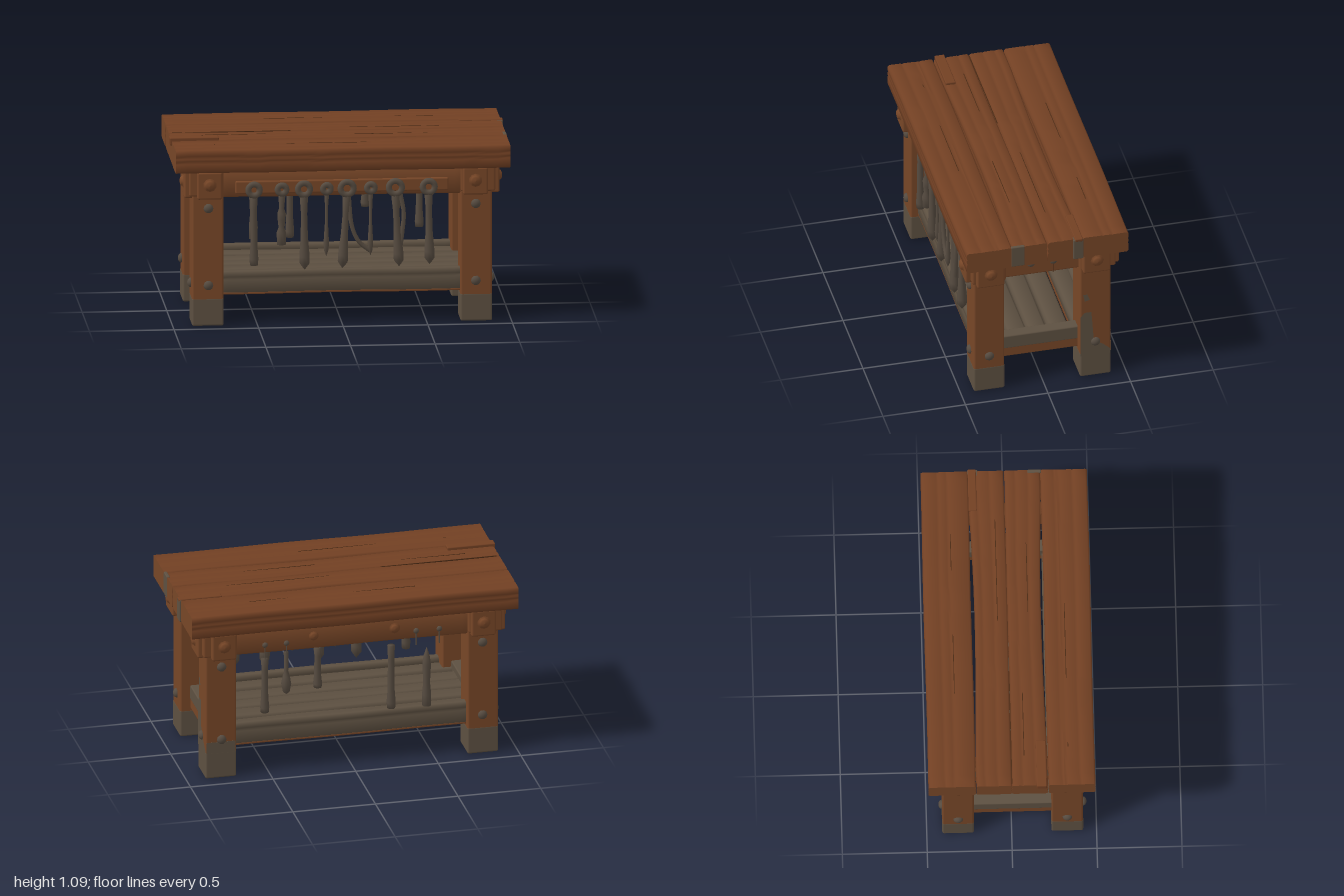
import * as THREE from 'three';
import { toCreasedNormals } from 'three/addons/utils/BufferGeometryUtils.js';
import { RoundedBoxGeometry } from 'three/addons/geometries/RoundedBoxGeometry.js';

const mat = (name, color, side = THREE.FrontSide) => {
  const m = new THREE.MeshStandardMaterial({ color, side });
  m.name = name;
  return m;
};

export function createModel() {
  const wood = mat('wood', 0x774627);
  const topWood = mat('top wood', 0x724023);
  const grain = mat('dark grain', 0x4a2a14);
  const worn = mat('worn grey wood', 0x5d5041);
  const iron = mat('iron', 0x564b40);
  const stain = mat('grey stain', 0x5d5041, THREE.DoubleSide);

  const model = new THREE.Group();
  model.name = 'workbench';
  const add = (name, geo, material, x = 0, y = 0, z = 0, parent = model) => {
    const m = new THREE.Mesh(geo, material);
    m.name = name;
    m.position.set(x, y, z);
    parent.add(m);
    return m;
  };
  // Rounded block given by its limits on each axis
  const block = (name, [x0, x1], [y0, y1], [z0, z1], material, r = 0.012) =>
    add(name, new RoundedBoxGeometry(x1 - x0, y1 - y0, z1 - z0, 2, r), material,
      (x0 + x1) / 2, (y0 + y1) / 2, (z0 + z1) / 2);

  // Long board along x: grooved cross-section, then gently warped
  function board(name, len, [y0, y1], [z0, z1], material, o = {}) {
    const { grooves = [], sides = [], seed = 0, amp = 0.0015, pinch = 0, c = 0.01 } = o;
    const w = (z1 - z0) / 2, h = (y1 - y0) / 2, d = 0.004, g = 0.009;
    const s = new THREE.Shape();
    s.moveTo(-w + c, -h);
    s.lineTo(w - c, -h);
    s.lineTo(w, -h + c);
    for (const t of sides) { s.lineTo(w, t - g); s.lineTo(w - d, t); s.lineTo(w, t + g); }
    s.lineTo(w, h - c);
    s.lineTo(w - c, h);
    for (const t of grooves) {
      const p = w * (1 - 2 * t);
      s.lineTo(p + g, h); s.lineTo(p, h - d); s.lineTo(p - g, h);
    }
    s.lineTo(-w + c, h);
    s.lineTo(-w, h - c);
    for (const t of [...sides].reverse()) { s.lineTo(-w, t + g); s.lineTo(-w + d, t); s.lineTo(-w, t - g); }
    s.lineTo(-w, -h + c);
    s.closePath();
    const geo = new THREE.ExtrudeGeometry(s, { depth: len, steps: 28, bevelEnabled: false });
    geo.translate(0, 0, -len / 2);
    geo.rotateY(Math.PI / 2);
    geo.translate(0, (y0 + y1) / 2, (z0 + z1) / 2);
    const p = geo.attributes.position;
    for (let i = 0; i < p.count; i++) {
      const x = p.getX(i), y = p.getY(i), z = p.getZ(i);
      p.setY(i, y + amp * Math.sin(6 * x + 14 * z + seed));
      p.setZ(i, z * (1 - pinch * Math.max(0, 1 - x * x * 1.6)) + amp * Math.sin(4.3 * x + seed * 2));
    }
    return add(name, toCreasedNormals(geo, 0.9), material);
  }

  // Table top: lighter board ends, darker long sides
  [
    [0.215, 0.49, 0, [0.3, 0.38, 0.68]],
    [0.001, 0.212, 0.07, [0.3, 0.66]],
    [-0.21, -0.001, 0.07, [0.25, 0.6]],
    [-0.492, -0.213, 0, [0.35, 0.55]],
  ].forEach(([z0, z1, pinch, grooves], i) => {
    board('topPlank', 1.976, [0.937, 1.075], [z0, z1], [wood, topWood],
      { grooves, sides: [-0.005, 0.025], seed: i * 1.7, pinch });
  });
  // Dark cracks along the top
  for (const [x, z, len] of [[-0.3, 0.335, 0.9], [0.4, 0.12, 0.6], [-0.55, 0.075, 0.5],
    [0.35, -0.06, 0.7], [0.1, -0.325, 1.0], [-0.62, 0, 0.7]])
    add('crack', new THREE.BoxGeometry(len, 0.006, 0.004), grain, x, 1.0725, z);
  // End repairs: raised splints and grey straps
  block('splint', [-1, -0.71], [1.045, 1.09], [0.145, 0.205], topWood, 0.006);
  block('splint', [0.74, 1.0], [1.06, 1.08], [-0.213, -0.165], topWood, 0.006);
  block('strap', [0.97, 0.991], [0.94, 1.078], [0.138, 0.22], worn, 0.006);
  block('strap', [0.96, 0.999], [0.937, 1.074], [-0.216, -0.155], worn, 0.006);

  // Domed bolt and flared peg, pointing along +y before being turned
  const dome = new THREE.SphereGeometry(0.029, 10, 6, 0, Math.PI * 2, 0, Math.PI / 2);
  dome.scale(1, 0.75, 1);
  const peg = new THREE.LatheGeometry([[0.056, -0.003], [0.04, 0.003], [0.029, 0.008], [0.029, 0.014],
    [0.02, 0.021], [0, 0.024]].map(a => new THREE.Vector2(...a)), 10);
  const face = (name, geo, material, x, y, z, axis, sign) => {
    const m = add(name, geo, material, x, y, z);
    if (axis === 'x') m.rotation.z = -sign * Math.PI / 2;
    else m.rotation.x = sign * Math.PI / 2;
    return m;
  };

  // Legs with worn feet, corner blocks, pegs and bolts
  for (const sx of [-1, 1]) for (const sz of [-1, 1]) {
    const cx = sx * 0.793, cz = sz > 0 ? 0.328 : -0.315, r = 0.093;
    const span = (a, b) => [Math.min(a, b), Math.max(a, b)];
    block('leg', [cx - r, cx + r], [0.1, 0.94], [cz - r, cz + r], wood);
    block('foot', [cx - r - 0.001, cx + r + 0.001], [0, 0.17], [cz - r - 0.001, cz + r + 0.001], worn);
    block('cornerBlock', span(cx, sx * 0.932), [0.772, 0.937], [cz - 0.084, cz + 0.084], wood);
    block('cornerBlock', [sx * 0.785 - 0.074, sx * 0.785 + 0.074], [0.772, 0.937], span(cz, sz * 0.466), wood);
    block('cornerCore', span(sx * 0.7, sx * 0.905), [0.785, 0.937], span(sz * 0.23, sz * 0.435), wood);
    face('peg', peg, wood, sx * 0.929, 0.86, cz, 'x', sx);
    face('peg', peg, wood, sx * 0.785, 0.86, sz * 0.463, 'z', sz);
    face('bolt', dome, iron, cx + sx * r, 0.245, cz, 'x', sx);
    for (const y of [0.245, 0.71]) face('bolt', dome, iron, sx * 0.79, y, cz + sz * r, 'z', sz);
  }

  // Aprons
  board('frontApron', 1.44, [0.77, 0.938], [0.33, 0.4], wood, { seed: 1 });
  board('backApron', 1.44, [0.77, 0.938], [-0.4, -0.33], wood, { seed: 2 });
  block('toolRail', [-0.63, 0.63], [0.79, 0.868], [0.38, 0.412], wood, 0.01);
  for (const x of [-0.26, 0.23]) face('peg', peg, wood, x, 0.85, -0.398, 'z', -1).scale.setScalar(0.8);

  // Stain plate lying on an end face; points are z, y
  const plate = (x, pts) => {
    const geo = new THREE.ShapeGeometry(new THREE.Shape(pts.map(([z, y]) => new THREE.Vector2(-z, y))));
    geo.rotateY(Math.PI / 2);
    add('stainPatch', geo, stain, x);
  };
  for (const s of [-1, 1]) {
    block('endApron', [s * 0.8 - 0.04, s * 0.8 + 0.04], [0.757, 0.938], [-0.24, 0.25], wood);
    plate(s * 0.842, [[0.235, 0.84], [0.15, 0.845], [0.125, 0.93], [0.235, 0.93]]);
    plate(s * 0.842, [[-0.22, 0.84], [-0.19, 0.85], [-0.13, 0.93], [-0.22, 0.93]]);
    // End stretcher, brown below and worn above
    block('endStretcher', [s * 0.79 - 0.035, s * 0.79 + 0.035], [0.18, 0.26], [-0.24, 0.25], wood, 0.008);
    block('endStretcherTop', [s * 0.79 - 0.036, s * 0.79 + 0.036], [0.236, 0.325], [-0.24, 0.25], worn, 0.008);
    for (const z of [0.065, -0.07]) face('nail', dome, iron, s * 0.84, 0.84, z, 'x', s).scale.setScalar(0.85);
  }
  add('crack', new THREE.BoxGeometry(0.004, 0.07, 0.005), grain, 0.841, 0.79, -0.07);
  plate(0.8875, [[-0.224, 0.15], [-0.224, 0.43], [-0.25, 0.46], [-0.29, 0.46], [-0.305, 0.25], [-0.36, 0.22], [-0.404, 0.18], [-0.404, 0.15]]);
  plate(0.8875, [[-0.25, 0.54], [-0.24, 0.59], [-0.265, 0.59], [-0.28, 0.55]]);
  add('stainPatch', new THREE.BoxGeometry(0.174, 0.07, 0.004), stain, 0.793, 0.195, -0.4075);

  // Long stretchers, worn with brown undersides, and shelf slats
  for (const [name, z] of [['frontStretcher', 0.35], ['backStretcher', -0.34]]) {
    board(name, 1.44, [0.183, 0.318], [z - 0.027, z + 0.027], worn, { sides: [0.025], seed: 3 });
    board(name + 'Base', 1.44, [0.178, 0.192], [z - 0.026, z + 0.026], wood, { seed: 3, c: 0.004 });
  }
  for (const [z0, z1] of [[-0.325, -0.215], [-0.185, -0.066], [-0.056, 0.056], [0.066, 0.185], [0.215, 0.325]]) {
    board('shelfSlat', 1.56, [0.215, 0.285], [z0, z1], worn, { seed: z0 * 9, c: 0.012 });
    board('slatUnderside', 1.55, [0.186, 0.23], [z0 + 0.001, z1 - 0.001], wood, { seed: z0 * 9, c: 0.006 });
  }

  // Tool shaft: turned profile of [radius, fraction of length from the bottom]
  const profiles = {
    blade: [[0, 0], [0.03, 0.09], [0.031, 0.18], [0.022, 0.45], [0.019, 0.75], [0.026, 1], [0, 1]],
    paddle: [[0, 0], [0.024, 0.01], [0.027, 0.1], [0.021, 0.3], [0.019, 0.8], [0.023, 1], [0, 1]],
    turned: [[0, 0], [0.027, 0.02], [0.029, 0.25], [0.018, 0.34], [0.024, 0.5], [0.026, 0.62], [0.015, 0.72], [0.023, 1], [0, 1]],
    slim: [[0, 0], [0.012, 0.08], [0.017, 0.2], [0.01, 0.5], [0.01, 0.8], [0.016, 1], [0, 1]],
    point: [[0, 0], [0.026, 0.01], [0.027, 0.2], [0.02, 0.4], [0.026, 0.7], [0.018, 0.85], [0, 1]],
    club: [[0, 0], [0.02, 0.06], [0.03, 0.25], [0.022, 0.42], [0.012, 0.55], [0.015, 1], [0, 1]],
  };
  const shaft = (kind, x0, y0, x1, y1, z, parent) => {
    const len = Math.hypot(x1 - x0, y1 - y0);
    const geo = new THREE.LatheGeometry(profiles[kind].map(([r, t]) => new THREE.Vector2(r, t * len)), 10);
    const m = add('shaft', geo, iron, x0, y0, z, parent);
    m.rotation.z = -Math.atan2(x1 - x0, y1 - y0);
  };
  const prong = (pts, z, parent) => {
    const curve = new THREE.CatmullRomCurve3(pts.map(([x, y]) => new THREE.Vector3(x, y, z)));
    add('prong', new THREE.TubeGeometry(curve, 14, 0.014, 6), iron, 0, 0, 0, parent);
  };
  const group = name => {
    const g = new THREE.Group();
    g.name = name;
    model.add(g);
    return g;
  };

  // Front tools hanging by rings: x, ring radius, foot x, foot y, profile
  for (const [x, r, fx, fy, kind] of [
    [-0.52, 0.034, -0.52, 0.355, 'paddle'], [-0.355, 0.026, -0.358, 0.475, 'turned'],
    [-0.225, 0.036, -0.22, 0.325, 'blade'], [-0.09, 0.023, -0.093, 0.405, 'slim'],
    [0.03, 0.039, 0.002, 0.33, 'blade'], [0.17, 0.023, 0.168, 0.405, 'slim'],
    [0.315, 0.039, 0.338, 0.335, 'blade'], [0.512, 0.036, 0.518, 0.345, 'blade']]) {
    const g = group('frontTool');
    add('ring', new THREE.TorusGeometry(r, 0.018, 8, 18), iron, x, 0.815, 0.416, g);
    shaft(kind, fx, fy, x, 0.815 - r, 0.405, g);
    if (x === 0.17) prong([[0.04, 0.77], [0.06, 0.58], [0.1, 0.49], [0.165, 0.435]], 0.405, g);
    if (x === 0.315) prong([[0.345, 0.78], [0.365, 0.66], [0.355, 0.53], [0.34, 0.42]], 0.405, g);
  }

  // Back tools hanging from nails: x, foot y, top y, profile
  for (const [x, y0, y1, kind] of [[0.525, 0.385, 0.73, 'paddle'], [0.395, 0.49, 0.76, 'club'],
    [0.205, 0.515, 0.77, 'paddle'], [-0.24, 0.335, 0.74, 'paddle'], [-0.455, 0.33, 0.71, 'point']])
    shaft(kind, x, y0, x, y1, -0.393, group('backTool'));
  for (const x of [0.525, 0.395, -0.39, -0.53]) {
    face('nail', dome, iron, x, 0.82, -0.4, 'z', -1).scale.setScalar(0.6);
    add('cord', new THREE.CylinderGeometry(0.004, 0.004, 0.09, 6), iron, x, 0.775, -0.402);
  }
  return model;
}
